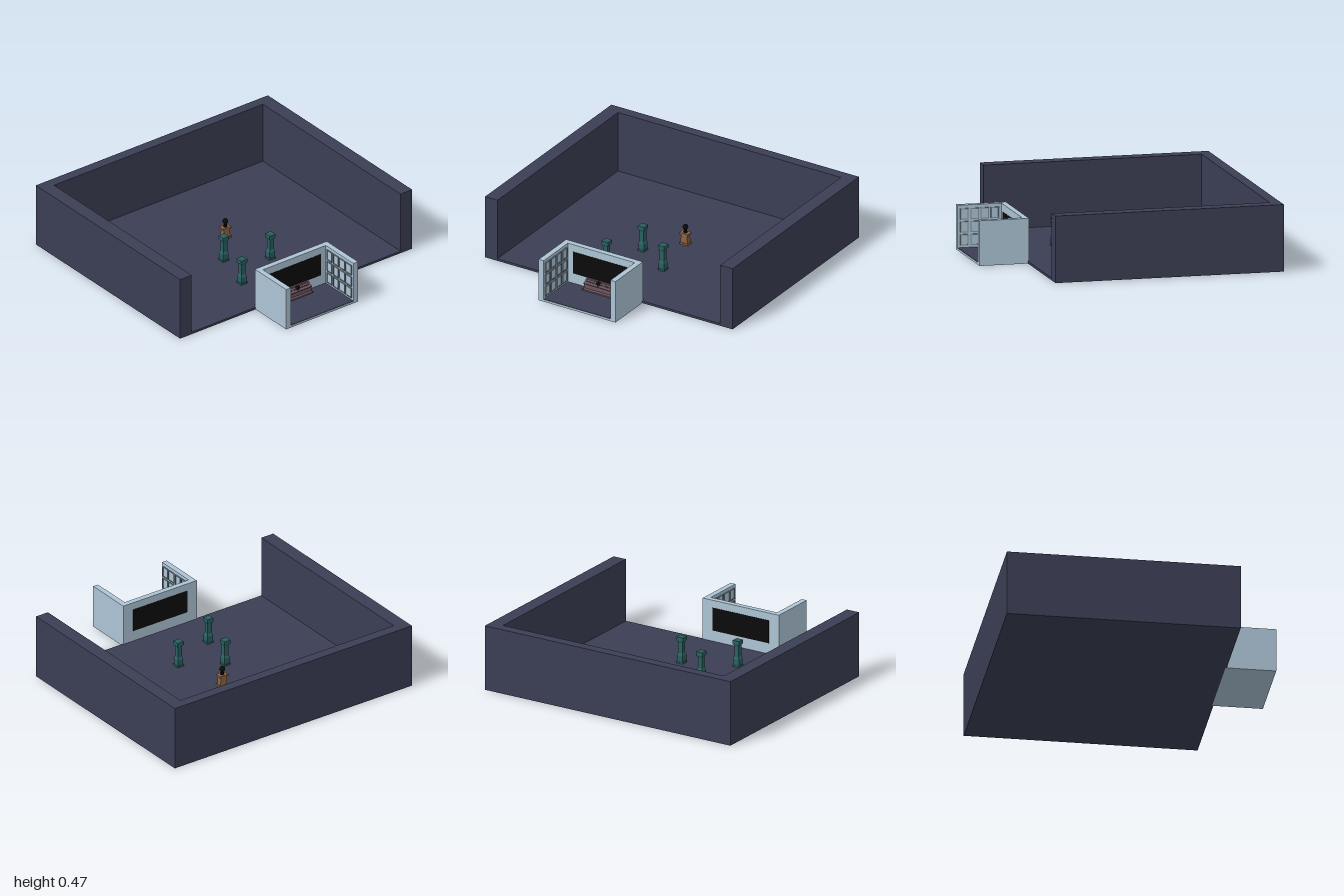
import * as THREE from 'three';

const material = (color) => new THREE.MeshStandardMaterial({ color, flatShading: true });
const NAVY = material(0x3b3e54), BLUE = material(0xadc4d5), PANEL = material(0x7f919c);
const BLACK = material(0x0b0b0b), TEAL = material(0x2a5f60), BROWN = material(0x8a6240);
const MAUVE = material(0x6a545f), DARK = material(0x3a2e36);

function add(parent, name, geometry, mat, x = 0, y = 0, z = 0) {
  const mesh = new THREE.Mesh(geometry, mat);
  mesh.name = name;
  mesh.position.set(x, y, z);
  parent.add(mesh);
  return mesh;
}

// Box given by its minimum and maximum corners
function block(parent, name, mat, [x0, y0, z0], [x1, y1, z1]) {
  return add(parent, name, new THREE.BoxGeometry(x1 - x0, y1 - y0, z1 - z0), mat,
    (x0 + x1) / 2, (y0 + y1) / 2, (z0 + z1) / 2);
}

function group(parent, name, x = 0, y = 0, z = 0) {
  const g = new THREE.Group();
  g.name = name;
  g.position.set(x, y, z);
  parent.add(g);
  return g;
}

// Four-sided tapered block standing on y, widths at the bottom and top
function taper(parent, name, mat, bottom, top, y, height, depthScale = 1) {
  const geometry = new THREE.CylinderGeometry(top * Math.SQRT1_2, bottom * Math.SQRT1_2, height, 4);
  geometry.rotateY(Math.PI / 4).scale(1, 1, depthScale);
  return add(parent, name, geometry, mat, 0, y + height / 2, 0);
}

function buildHall(root) {
  const hall = group(root, 'hall');
  block(hall, 'hallFloor', NAVY, [-0.9, 0, -0.904], [0.9, 0.016, 0.636]);
  block(hall, 'hallBackWall', NAVY, [-0.9, 0, -0.978], [0.9, 0.466, -0.904]);
  for (const s of [-1, 1]) {
    block(hall, 'hallSideWall', NAVY, [s < 0 ? -1 : 0.9, 0, -0.978], [s < 0 ? -0.9 : 1, 0.466, 0.636]);
  }
}

function buildBooth(root) {
  const booth = group(root, 'booth', -0.04);
  block(booth, 'boothBase', BLUE, [-0.27, 0, 0.668], [0.27, 0.015, 0.978]);
  block(booth, 'boothFloor', NAVY, [-0.27, 0.015, 0.668], [0.27, 0.018, 0.976]);
  block(booth, 'boothBackWall', BLUE, [-0.27, 0, 0.628], [0.27, 0.314, 0.668]);
  block(booth, 'window', BLACK, [-0.229, 0.094, 0.626], [0.227, 0.26, 0.67]);
  for (const s of [-1, 1]) {
    block(booth, 'boothSideWall', BLUE, [s < 0 ? -0.31 : 0.27, 0, 0.628], [s < 0 ? -0.27 : 0.31, 0.314, 0.978]);
    // Grid of framed panels on the inner face
    for (let row = 0; row < 3; row++) {
      for (let col = 0; col < 4; col++) {
        const panel = group(booth, 'wallPanel', s * 0.268, 0.072 + row * 0.09, 0.715 + col * 0.072);
        add(panel, 'panelFace', new THREE.BoxGeometry(0.005, 0.07, 0.05), BLUE);
        for (const e of [-1, 1]) {
          add(panel, 'panelRail', new THREE.BoxGeometry(0.011, 0.007, 0.058), PANEL, 0, e * 0.035, 0);
          add(panel, 'panelStile', new THREE.BoxGeometry(0.011, 0.07, 0.007), PANEL, 0, 0, e * 0.026);
        }
      }
    }
  }
}

// Control desk with a sloped top, buttons and a centre knob
function buildConsole(root) {
  const desk = group(root, 'console', -0.04, 0.017, 0.668);
  const profile = new THREE.Shape([[0, 0], [0.054, 0], [0.054, 0.01], [0.044, 0.018], [0.044, 0.046],
    [0.052, 0.05], [0.052, 0.056], [0.016, 0.072], [0.014, 0.08], [0, 0.08]]
    .map(([z, y]) => new THREE.Vector2(z, y)));
  const body = new THREE.ExtrudeGeometry(profile, { depth: 0.224, bevelEnabled: false });
  body.rotateY(-Math.PI / 2).translate(0.112, 0, 0);
  add(desk, 'consoleBody', body, MAUVE);
  for (const s of [-1, 1]) {
    const foot = new THREE.Shape([[0, 0], [0.014, 0], [0.002, 0.018], [0, 0.018]]
      .map(([x, y]) => new THREE.Vector2(x * s, y)));
    add(desk, 'consoleFoot', new THREE.ExtrudeGeometry(foot, { depth: 0.05, bevelEnabled: false }),
      DARK, s * 0.112, 0, 0.002);
  }
  for (let i = -4; i <= 4; i++) {
    if (i === 0) continue;
    const button = add(desk, 'button', new THREE.BoxGeometry(0.015, 0.005, 0.01), DARK, i * 0.023, 0.066, 0.031);
    button.rotation.x = 0.42;
  }
  add(desk, 'knobStem', new THREE.CylinderGeometry(0.006, 0.01, 0.02, 8), DARK, 0, 0.066, 0.036);
  add(desk, 'knob', new THREE.SphereGeometry(0.015, 12, 8), BLACK, 0, 0.078, 0.036);
}

// Square post: plinth, lower body, slim shaft and crown
function buildPillar(root, x, z) {
  const pillar = group(root, 'pillar', x, 0.016, z);
  taper(pillar, 'plinth', TEAL, 0.052, 0.052, 0, 0.012);
  taper(pillar, 'lowerBody', TEAL, 0.046, 0.046, 0.012, 0.046);
  taper(pillar, 'shoulder', TEAL, 0.05, 0.034, 0.058, 0.014);
  taper(pillar, 'shaft', TEAL, 0.034, 0.034, 0.072, 0.078);
  taper(pillar, 'collar', TEAL, 0.034, 0.05, 0.15, 0.014);
  taper(pillar, 'crown', TEAL, 0.052, 0.052, 0.164, 0.026);
}

// Stand with a ball on top
function buildPedestal(root) {
  const stand = group(root, 'pedestal', 0.065, 0.016, -0.24);
  taper(stand, 'pedestalBase', BROWN, 0.068, 0.068, 0, 0.014, 0.72);
  taper(stand, 'pedestalBody', BROWN, 0.056, 0.048, 0.014, 0.06, 0.72);
  taper(stand, 'pedestalTop', BROWN, 0.068, 0.068, 0.074, 0.014, 0.72);
  add(stand, 'ballNeck', new THREE.CylinderGeometry(0.009, 0.014, 0.028, 10), BLACK, 0, 0.1, 0);
  add(stand, 'ball', new THREE.SphereGeometry(0.02, 14, 10), BLACK, 0, 0.13, 0);
}

export function createModel() {
  const root = new THREE.Group();
  root.name = 'hallWithBooth';
  buildHall(root);
  buildBooth(root);
  buildConsole(root);
  for (const [x, z] of [[-0.13, -0.005], [0.14, 0.165], [-0.22, 0.315]]) buildPillar(root, x, z);
  buildPedestal(root);
  return root;
}
